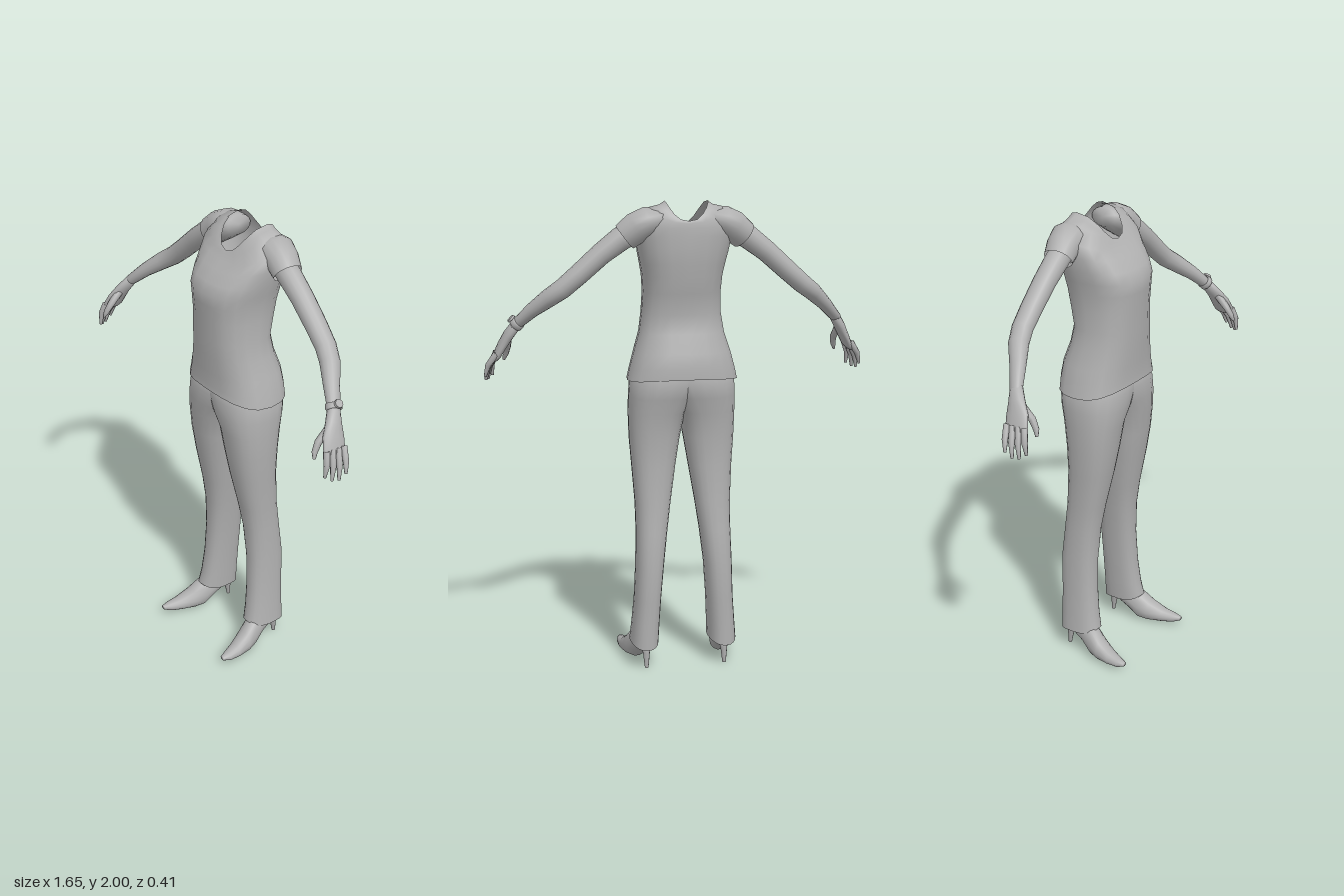
import * as THREE from 'three';

const SIDES = 20;
const grey = new THREE.MeshStandardMaterial({ color: 0xb0b0b0, side: THREE.DoubleSide });
grey.name = 'clay grey';

// Skin a list of closed rings; caps are optional, faces always end up pointing outward.
function loft(rings, capStart = false, capEnd = false) {
  const n = rings[0].length;
  const pts = rings.flat();
  const index = [];
  for (let r = 0; r < rings.length - 1; r++) {
    for (let i = 0; i < n; i++) {
      const a = r * n + i, b = r * n + (i + 1) % n;
      index.push(a, b, b + n, a, b + n, a + n);
    }
  }
  const cap = (r, flip) => {
    const c = new THREE.Vector3();
    rings[r].forEach((p) => c.addScaledVector(p, 1 / n));
    const k = pts.push(c) - 1;
    for (let i = 0; i < n; i++) {
      const a = r * n + i, b = r * n + (i + 1) % n;
      index.push(k, flip ? b : a, flip ? a : b);
    }
  };
  if (capStart) cap(0, true);
  if (capEnd) cap(rings.length - 1, false);

  const mid = new THREE.Vector3();
  pts.forEach((p) => mid.addScaledVector(p, 1 / pts.length));
  let volume = 0;
  for (let i = 0; i < index.length; i += 3) {
    const [a, b, c] = [0, 1, 2].map((k) => pts[index[i + k]].clone().sub(mid));
    volume += a.dot(b.cross(c));
  }
  if (volume < 0) index.reverse();

  const geo = new THREE.BufferGeometry().setFromPoints(pts);
  geo.setIndex(index);
  geo.computeVertexNormals();
  return geo;
}

// Horizontal ring whose height, depth and width differ at the front, sides and back.
function bodyRing({ yf, ys = yf, yb = yf, x0, x1, zf, zb, zc = (zf + zb) / 2, p = 0.85 }) {
  const ring = [];
  for (let i = 0; i < SIDES; i++) {
    const a = (i / SIDES) * Math.PI * 2, s = Math.sin(a), c = Math.cos(a);
    const bend = (v) => Math.sign(v) * Math.abs(v) ** p;
    ring.push(new THREE.Vector3(
      (x0 + x1) / 2 + (x1 - x0) / 2 * bend(s),
      ys + ((c > 0 ? yf : yb) - ys) * c * c,
      zc + (c > 0 ? zf - zc : zc - zb) * bend(c)));
  }
  return ring;
}

// Tapered tube through [x, y, z, radius along z, radius across].
function limbRings(path, n = 14) {
  const at = path.map(([x, y, z]) => new THREE.Vector3(x, y, z));
  return path.map(([, , , rz, rb = rz], k) => {
    const t = at[Math.min(k + 1, at.length - 1)].clone().sub(at[Math.max(k - 1, 0)]).normalize();
    const u = new THREE.Vector3(0, 0, 1).addScaledVector(t, -t.z).normalize();
    const v = t.clone().cross(u);
    return Array.from({ length: n }, (_, i) => {
      const a = (i / n) * Math.PI * 2;
      return at[k].clone().addScaledVector(u, rz * Math.cos(a)).addScaledVector(v, rb * Math.sin(a));
    });
  });
}

const mirror = (rings, s) => rings.map((r) => r.map((p) => new THREE.Vector3(p.x * s, p.y, p.z)));

function createModel() {
  const model = new THREE.Group();
  model.name = 'clothedFigure';
  const add = (name, geo, parent = model) => {
    const mesh = new THREE.Mesh(geo, grey);
    mesh.name = name;
    parent.add(mesh);
    return mesh;
  };

  // Shirt body: front, side and back heights, half width, front z, back z, centre z
  const shirt = [
    [1.285, 1.25, 1.265, 0.235, 0.11, -0.203, -0.05],
    [1.31, 1.30, 1.31, 0.224, 0.108, -0.203, -0.05],
    [1.37, 1.37, 1.37, 0.205, 0.11, -0.195, -0.05],
    [1.45, 1.45, 1.45, 0.18, 0.116, -0.168, -0.04],
    [1.53, 1.53, 1.53, 0.168, 0.12, -0.153, -0.03],
    [1.62, 1.62, 1.62, 0.163, 0.124, -0.178, -0.04],
    [1.69, 1.69, 1.69, 0.168, 0.13, -0.19, -0.05],
    [1.74, 1.74, 1.74, 0.178, 0.132, -0.198, -0.06],
    [1.785, 1.79, 1.80, 0.19, 0.11, -0.205, -0.07],
    [1.83, 1.85, 1.86, 0.2, 0.07, -0.205, -0.09],
    [1.86, 1.91, 1.89, 0.205, 0.04, -0.204, -0.11],
    [1.88, 1.975, 1.91, 0.155, 0.022, -0.202, -0.125],
    [1.89, 1.985, 1.918, 0.112, 0.015, -0.2, -0.13],
    [1.892, 2.0, 1.92, 0.09, 0.01, -0.197, -0.13],
  ];
  add('shirtBody', loft(shirt.map(([yf, ys, yb, w, zf, zb, zc]) =>
    bodyRing({ yf, ys, yb, x0: -w, x1: w, zf, zb, zc, p: 0.8 }))));

  // Trouser leg: y, inner x, outer x, front z, back z
  const leg = [
    [1.33, -0.11, 0.19, 0.085, -0.17], [1.25, -0.1, 0.223, 0.1, -0.193],
    [1.18, -0.06, 0.227, 0.098, -0.18], [1.11, -0.012, 0.228, 0.088, -0.158],
    [1.0, 0.01, 0.225, 0.075, -0.143], [0.88, 0.03, 0.216, 0.055, -0.138],
    [0.72, 0.055, 0.206, 0.022, -0.145], [0.6, 0.072, 0.205, 0.003, -0.157],
    [0.45, 0.09, 0.209, -0.004, -0.172], [0.3, 0.102, 0.215, 0.002, -0.167],
    [0.19, 0.108, 0.224, 0.014, -0.164],
  ];
  const legRings = leg.map(([y, x0, x1, zf, zb]) => bodyRing({ yf: y, x0, x1, zf, zb }));
  legRings.push(bodyRing({ yf: 0.128, ys: 0.105, yb: 0.085, x0: 0.112, x1: 0.232, zf: 0.028, zb: -0.163 }));

  // Shoe sections from toe to heel: z, centre x, half width, sole y, top y
  const shoe = [
    [0.203, 0.228, 0.012, 0.024, 0.042], [0.17, 0.224, 0.026, 0.01, 0.05],
    [0.12, 0.214, 0.038, 0.004, 0.062], [0.06, 0.2, 0.048, 0, 0.095],
    [0.015, 0.188, 0.049, 0.004, 0.135], [-0.035, 0.178, 0.042, 0.042, 0.15],
    [-0.09, 0.172, 0.036, 0.075, 0.14], [-0.14, 0.17, 0.025, 0.082, 0.125],
  ];
  const shoeRings = shoe.map(([z, xc, w, y0, y1]) => Array.from({ length: 14 }, (_, i) => {
    const a = (i / 14) * Math.PI * 2, s = Math.sin(a);
    return new THREE.Vector3(xc + w * Math.cos(a) * (s > 0 ? 1 - 0.2 * s : 1),
      (y0 + y1) / 2 + (y1 - y0) / 2 * Math.sign(s) * Math.abs(s) ** 0.75, z);
  }));
  const heel = [[0.172, 0.1, -0.12, 0.024], [0.172, 0.065, -0.126, 0.015], [0.172, 0, -0.132, 0.008]];

  // Arm parts, described for the left side
  const sleeve = [
    [0.09, 1.935, -0.125, 0.06, 0.04], [0.155, 1.917, -0.122, 0.078, 0.062],
    [0.205, 1.89, -0.115, 0.07, 0.066], [0.252, 1.853, -0.106, 0.06, 0.06],
  ];
  const arm = [
    [0.19, 1.89, -0.112, 0.05, 0.05], [0.27, 1.845, -0.105, 0.05, 0.05],
    [0.35, 1.785, -0.103, 0.048, 0.045], [0.44, 1.705, -0.1, 0.046, 0.043],
    [0.51, 1.645, -0.093, 0.044, 0.041], [0.565, 1.605, -0.07, 0.042, 0.038],
    [0.63, 1.55, -0.025, 0.034, 0.03], [0.7, 1.48, 0.018, 0.026, 0.022],
  ];
  const palm = [
    [0.69, 1.49, 0.012, 0.026, 0.022], [0.72, 1.445, 0.036, 0.036, 0.023],
    [0.745, 1.40, 0.056, 0.05, 0.02], [0.765, 1.36, 0.067, 0.052, 0.017],
    [0.775, 1.343, 0.071, 0.044, 0.012],
  ];
  const thumb = [[0.722, 1.43, 0.06, 0.018], [0.718, 1.385, 0.108, 0.015], [0.724, 1.35, 0.13, 0.012], [0.732, 1.325, 0.138, 0.006]];
  const tips = [[0.783, 1.262, 0.125], [0.803, 1.25, 0.105], [0.815, 1.25, 0.08], [0.82, 1.27, 0.05]];

  for (const [s, side] of [[1, 'left'], [-1, 'right']]) {
    const part = (name, rings, a, b) => add(side + name, loft(mirror(rings, s), a, b));
    part('TrouserLeg', legRings, true, false);
    part('Shoe', shoeRings, true, true);
    part('ShoeHeel', limbRings(heel, 8), true, true);
    part('Sleeve', limbRings(sleeve, 16), true, false);
    part('Arm', limbRings(arm), true, true);
    part('Palm', limbRings(palm), true, true);
    part('Thumb', limbRings(thumb, 8), true, true);
    tips.forEach(([x, y, z], i) => {
      const base = [0.766 + i * 0.003, 1.365, 0.106 - i * 0.026];
      const knuckle = [(base[0] + x) / 2 + 0.01, (1.365 + y) / 2, (base[2] + z) / 2 + 0.003];
      part('Finger' + (i + 1), limbRings([[...base, 0.014], [...knuckle, 0.0125], [x, y, z, 0.006]], 8), true, true);
    });
  }

  // Wristwatch on the left arm
  const watch = new THREE.Group();
  watch.name = 'wristwatch';
  model.add(watch);
  add('watchBand', loft(limbRings([
    [0.68, 1.502, 0.006, 0.027, 0.024], [0.682, 1.5, 0.007, 0.034, 0.031],
    [0.694, 1.487, 0.015, 0.034, 0.031], [0.696, 1.485, 0.016, 0.027, 0.024]])), watch);
  const face = add('watchFace', new THREE.CylinderGeometry(0.017, 0.019, 0.009, 12), watch);
  face.position.set(0.712, 1.516, 0.006);
  face.rotation.z = -0.8;

  return model;
}

export { createModel };
